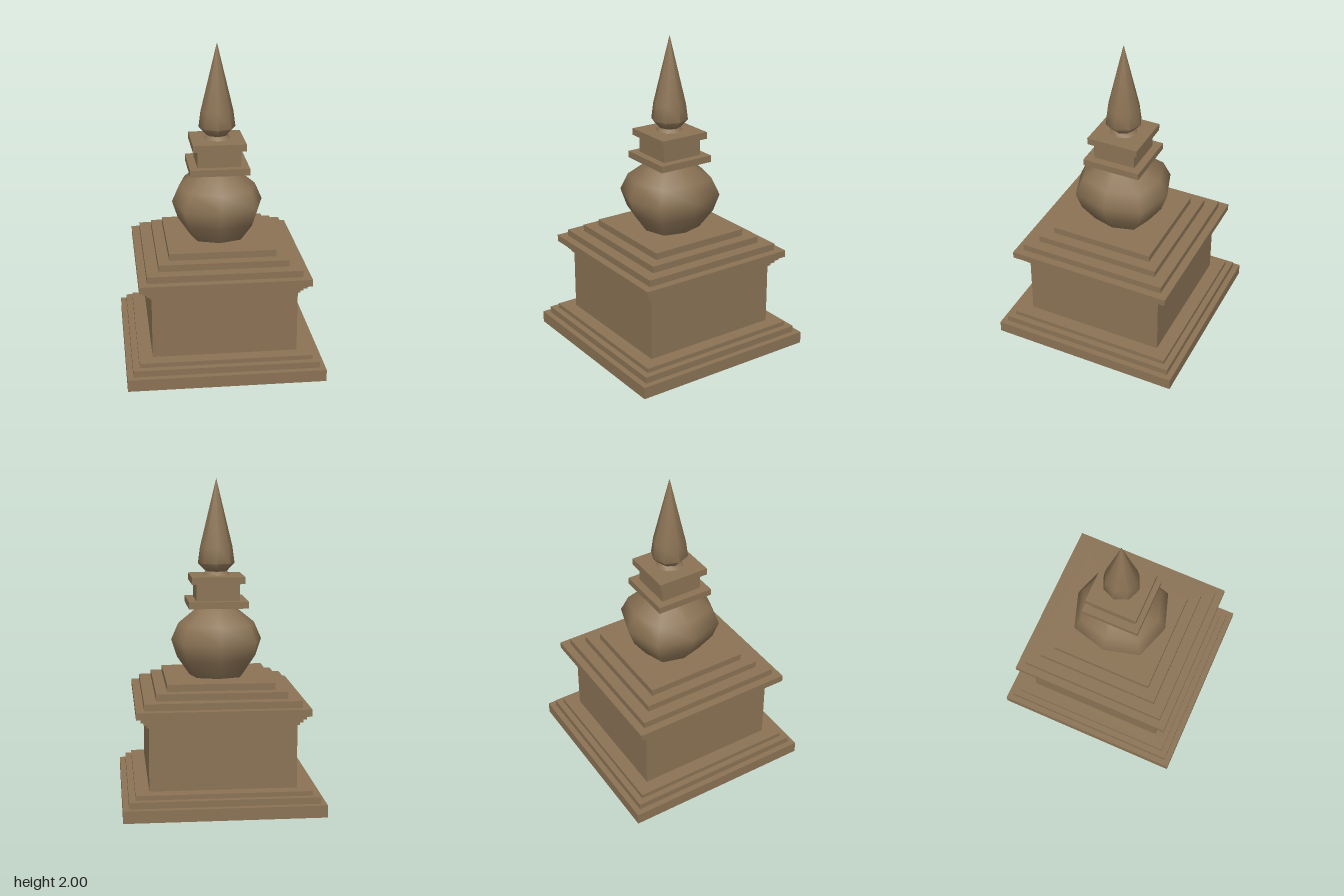
import * as THREE from 'three';
import { toCreasedNormals } from 'three/addons/utils/BufferGeometryUtils.js';

const stone = new THREE.MeshStandardMaterial({ color: 0x8b7355, side: THREE.DoubleSide });
stone.name = 'brown stone';

// Turns a [half width, height] profile, listed bottom to top, into a shell.
function shell(name, profile, sides, crease) {
  const square = sides === 4;
  const grow = square ? Math.SQRT2 : 1;
  const points = profile.map(([r, y]) => new THREE.Vector2(r * grow, y));
  const geometry = new THREE.LatheGeometry(points, sides, square ? Math.PI / 4 : 0);
  const mesh = new THREE.Mesh(toCreasedNormals(geometry, crease), stone);
  mesh.name = name;
  return mesh;
}

// Square steps from [half width, bottom, top] rows; each row is an upright band.
function steps(rows) {
  return rows.flatMap(([w, y0, y1]) => [[w, y0], [w, y1]]);
}

export function createModel() {
  const model = new THREE.Group();
  model.name = 'finial';

  // Hollow pedestal, open underneath: plinth steps, block, cornice and cap steps
  model.add(shell('pedestal', [
    ...steps([
      [0.61, 0, 0.075], [0.573, 0.075, 0.115], [0.533, 0.115, 0.143],
      [0.448, 0.143, 0.535],
      [0.462, 0.535, 0.555], [0.478, 0.555, 0.577], [0.497, 0.577, 0.6],
      [0.525, 0.6, 0.643],
      [0.475, 0.643, 0.685], [0.4, 0.685, 0.727], [0.33, 0.727, 0.77],
    ]),
    [0, 0.77],
  ], 4, 0.5));

  // Eight-sided bulb, slightly narrower across x and fuller on the diagonals
  const bulb = shell('bulb', [
    [0.18, 0.77], [0.262, 0.885], [0.3, 0.995], [0.252, 1.1], [0.11, 1.21],
  ], 8, 1.1);
  const position = bulb.geometry.attributes.position;
  for (let i = 0; i < position.count; i++) {
    const x = position.getX(i), z = position.getZ(i);
    const diagonal = Math.abs(x) > 0.01 && Math.abs(z) > 0.01;
    position.setX(i, x * (diagonal ? 1.06 : 0.95));
    position.setZ(i, z * (diagonal ? 1.06 : 1));
  }
  model.add(bulb);

  // Square collar: lower slab, neck and upper slab with a shallow slope on top
  model.add(shell('collar', [
    [0, 1.208],
    ...steps([[0.185, 1.208, 1.25], [0.135, 1.25, 1.357], [0.165, 1.357, 1.4]]),
    [0, 1.405],
  ], 4, 0.5));

  // Eight-sided spire
  model.add(shell('spire', [
    [0.09, 1.4], [0.068, 1.425], [0.115, 1.475], [0.102, 1.575], [0, 2],
  ], 8, 0.85));

  return model;
}
